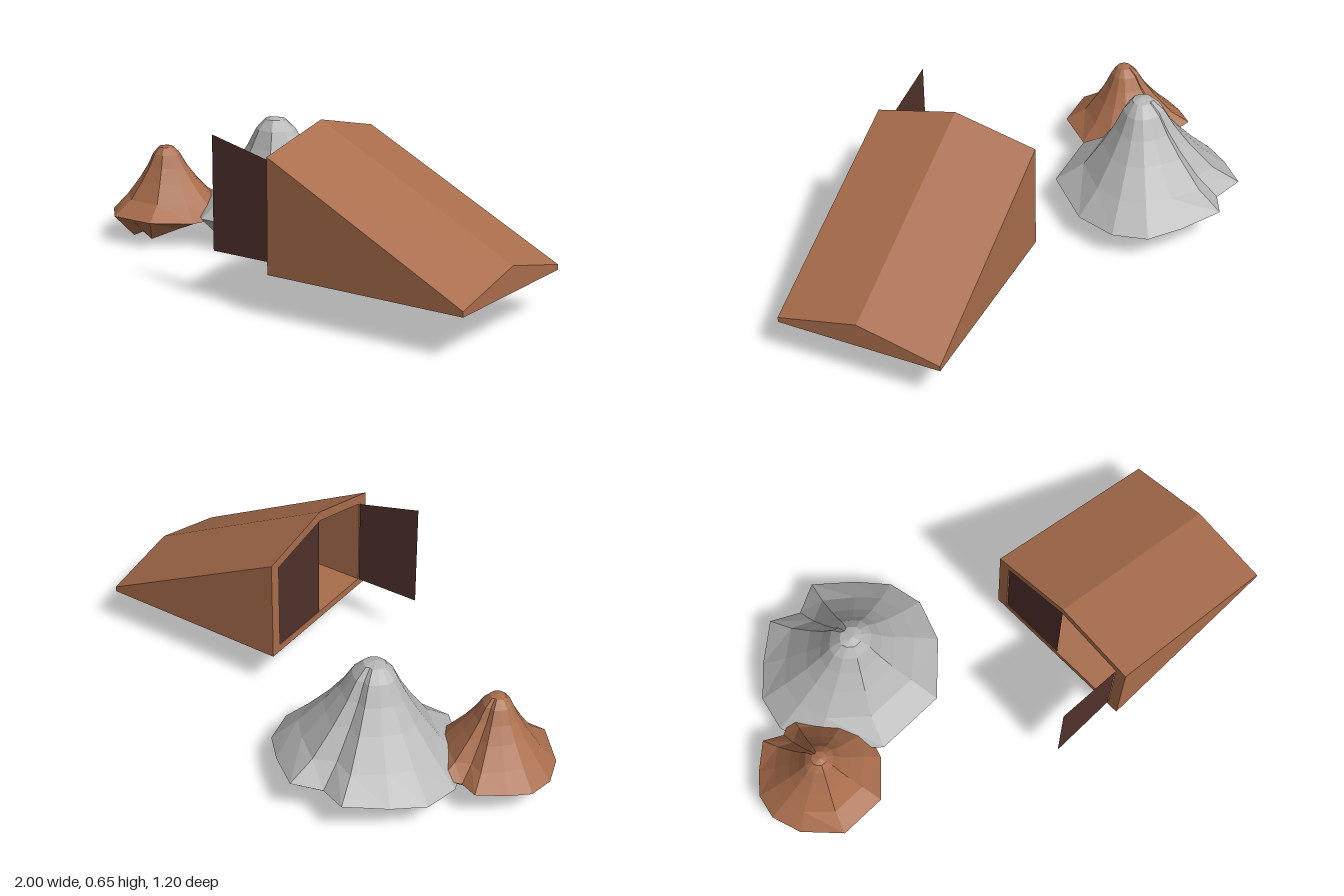
import * as THREE from 'three';

// Closed skin through rings of [x, y, z]; each ring runs clockwise seen from the last one.
function loft(rings, startCap, endCap) {
  const pos = [];
  const tri = (a, b, c) => pos.push(...a, ...b, ...c);
  const n = rings[0].length;
  for (let i = 0; i < n; i++) {
    const j = (i + 1) % n;
    tri(startCap, rings[0][i], rings[0][j]);
    for (let k = 0; k < rings.length - 1; k++) {
      const a = rings[k], b = rings[k + 1];
      tri(a[i], b[i], b[j]);
      tri(a[i], b[j], a[j]);
    }
    const last = rings[rings.length - 1];
    tri(endCap, last[j], last[i]);
  }
  const g = new THREE.BufferGeometry();
  g.setAttribute('position', new THREE.Float32BufferAttribute(pos, 3));
  g.computeVertexNormals();
  return g;
}

// Pile of earth: a lobed rim shrinking to a peak, with an uneven underside.
function moundGeometry() {
  // half rim from back to front: x, z, rim height, underside height
  const half = [
    [0, -0.29, 0.125, 0.045], [0.11, -0.34, 0.14, 0.022], [0.245, -0.235, 0.12, 0.03],
    [0.34, -0.135, 0.105, 0.04], [0.37, 0, 0.105, 0.05], [0.315, 0.16, 0.105, 0.04],
    [0.14, 0.335, 0.12, 0], [0, 0.335, 0.12, 0.035],
  ];
  const mirrored = half.slice(1, -1).reverse().map(([x, ...r]) => [-x, ...r]);
  const rim = [...half, ...mirrored];
  const peakZ = 0.04;
  const rings = [
    rim.map(([x, z, , low]) => [x * 0.5, low, z * (z > 0 ? 0.74 : 0.56)]),
    rim.map(([x, z, y]) => [x, y, z]),
  ];
  const profile = [[0.2, 0.74], [0.3, 0.5], [0.38, 0.34], [0.45, 0.23], [0.49, 0.12]];
  for (const [y, s] of profile) {
    rings.push(rim.map(([x, z]) => {
      const dz = (z - peakZ) * s;
      return [x * s, y, peakZ + dz * (dz > 0 ? 0.88 : 1)];
    }));
  }
  return loft(rings, [0, 0.05, 0], [0, 0.5, peakZ]);
}

export function createModel() {
  const model = new THREE.Group();
  const brown = new THREE.MeshStandardMaterial({ color: 0xa96d4c, flatShading: true });
  const grey = new THREE.MeshStandardMaterial({ color: 0xb6b6b6, flatShading: true });
  const dark = new THREE.MeshStandardMaterial({ color: 0x50312b, side: THREE.DoubleSide });
  brown.name = 'earthBrown';
  grey.name = 'stoneGrey';
  dark.name = 'doorBrown';

  const add = (name, geometry, material, x, y, z) => {
    const mesh = new THREE.Mesh(geometry, material);
    mesh.name = name;
    mesh.position.set(x, y, z);
    model.add(mesh);
    return mesh;
  };

  // Sloping hollow cellar entrance with a gabled cross-section
  const midZ = 0.28;
  const gable = (x, w, floor, wall, ridge) => [
    [x, ridge, midZ], [x, wall, midZ + w], [x, floor, midZ + w],
    [x, floor, midZ - w], [x, wall, midZ - w],
  ];
  const cellar = loft([
    gable(1, 0.32, 0.155, 0.175, 0.25),
    gable(0.21, 0.32, 0.155, 0.575, 0.65),
    gable(0.21, 0.275, 0.185, 0.545, 0.61),
    gable(0.9, 0.275, 0.185, 0.195, 0.26),
  ], [1, 0.19, midZ], [0.9, 0.19, midZ]);
  add('cellarEntrance', cellar, brown, 0, 0, 0);

  // Pair of doors, one closed and one swung open
  const doorShape = new THREE.Shape([[0, 0.185], [0.27, 0.185], [0.27, 0.61], [0, 0.545]]
    .map(([x, y]) => new THREE.Vector2(x, y)));
  const door = new THREE.ShapeGeometry(doorShape);
  add('openDoor', door, dark, 0.206, 0, midZ + 0.275).rotation.y = Math.PI;
  add('closedDoor', door, dark, 0.213, 0, midZ - 0.272).rotation.y = -Math.PI / 2;

  // Large stone heap and smaller earth heap
  const mound = moundGeometry();
  add('stoneMound', mound, grey, -0.375, 0, -0.26);
  add('earthMound', mound, brown, -0.755, 0.025, -0.024).scale.set(0.662, 0.7, 0.71);

  return model;
}
